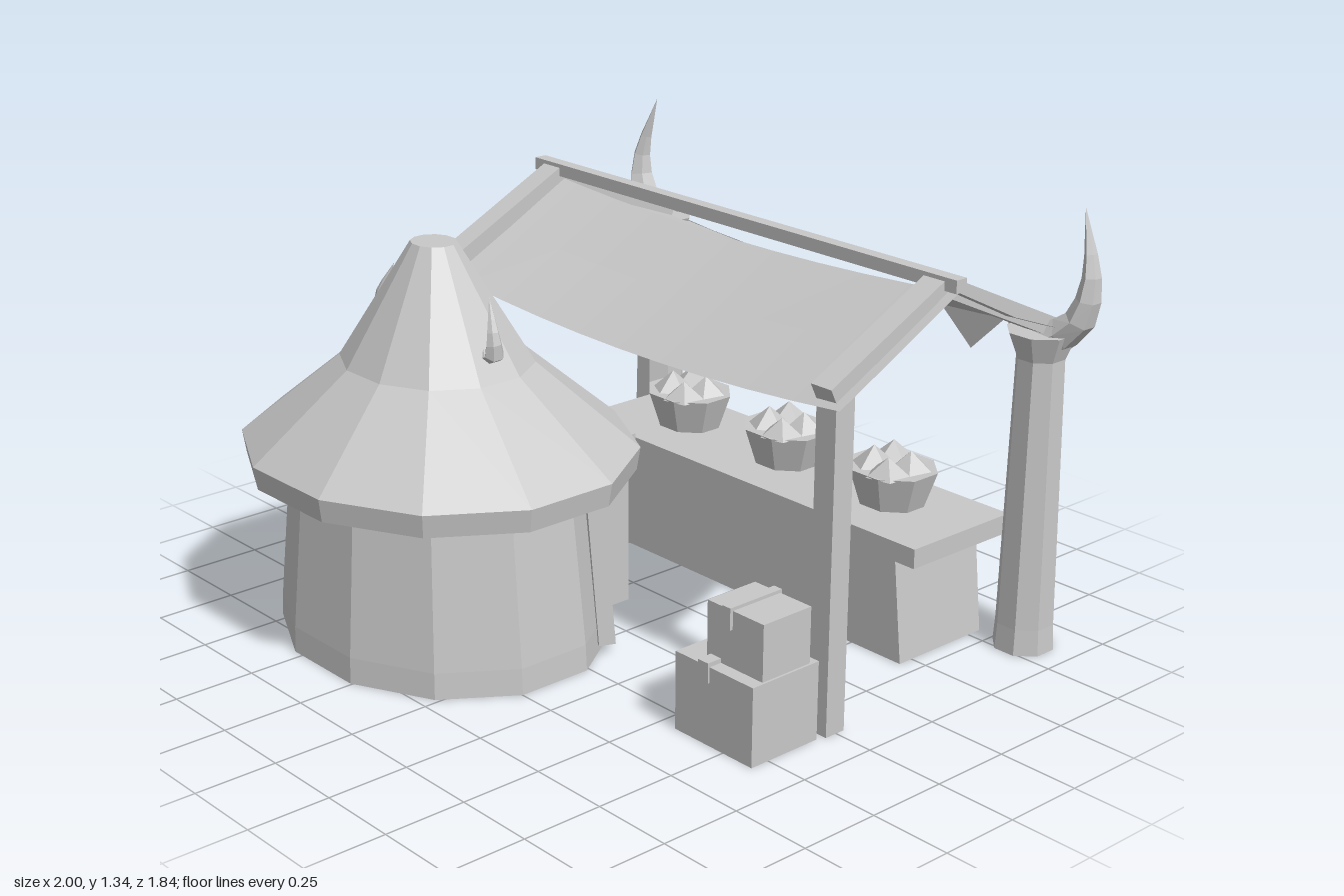
import * as THREE from 'three';

const V = (x, y, z) => new THREE.Vector3(x, y, z);

export function createModel() {
  const root = new THREE.Group();
  root.name = 'marketStallAndHut';
  const clay = new THREE.MeshStandardMaterial({ color: 0xc8c8c8, flatShading: true, side: THREE.DoubleSide });
  clay.name = 'plain grey';
  const CX = 0.037; // middle of the stall

  const add = (name, geo, x = 0, y = 0, z = 0) => {
    const m = new THREE.Mesh(geo, clay);
    m.name = name;
    m.position.set(x, y, z);
    root.add(m);
    return m;
  };
  // box without its bottom face
  const openBox = (w, h, d) => {
    const geo = new THREE.BoxGeometry(w, h, d);
    const idx = Array.from(geo.index.array);
    idx.splice(18, 6);
    geo.setIndex(idx);
    geo.clearGroups();
    return geo;
  };
  // box given by its limits; those standing on the ground are open below
  const span = (name, x0, x1, y0, y1, z0, z1) => {
    const size = [x1 - x0, y1 - y0, z1 - z0];
    const geo = y0 === 0 ? openBox(...size) : new THREE.BoxGeometry(...size);
    return add(name, geo, (x0 + x1) / 2, (y0 + y1) / 2, (z0 + z1) / 2);
  };
  // box running between two points
  const beam = (name, a, b, w, t) => {
    const m = add(name, new THREE.BoxGeometry(w, t, a.distanceTo(b)));
    m.position.copy(a).add(b).multiplyScalar(0.5);
    m.lookAt(b);
    return m;
  };
  const lathe = (name, pts, sides, x, z, sz = 1) => {
    const geo = new THREE.LatheGeometry(pts.map(p => new THREE.Vector2(...p)), sides, Math.PI / sides);
    const m = add(name, geo, x, 0, z);
    m.scale.z = sz;
    return m;
  };
  // tapering curved horn
  const horn = (name, pts, radius, flat) => {
    const seg = 7, sides = 6;
    const curve = new THREE.CatmullRomCurve3(pts);
    const geo = new THREE.TubeGeometry(curve, seg, radius, sides, false);
    const p = geo.attributes.position;
    const v = V(0, 0, 0);
    for (let i = 0; i < p.count; i++) {
      const t = Math.floor(i / (sides + 1)) / seg;
      const c = curve.getPointAt(t);
      v.fromBufferAttribute(p, i).sub(c).multiplyScalar(1 - t * 0.99);
      p.setXYZ(i, c.x + v.x, c.y + v.y, c.z + v.z * flat);
    }
    return add(name, geo);
  };

  // round hut
  const HX = -0.396, HZ = 0.38;
  lathe('hutWall', [[0.54, 0], [0.536, 0.08], [0.488, 0.54]], 12, HX, HZ, 0.852);
  lathe('hutRoof', [[0.46, 0.53], [0.615, 0.53], [0.627, 0.6], [0.305, 0.85], [0.073, 1.2], [0, 1.2]], 12, HX, HZ, 0.89);
  for (const s of [-1, 1]) {
    horn('roofHorn', [V(HX + s * 0.2, 0.915, 0.375), V(HX + s * 0.26, 0.92, 0.375),
      V(HX + s * 0.265, 0.98, 0.38), V(HX + s * 0.225, 1.08, 0.36)], 0.038, 1.15);
    const plank = beam('wallPlank', V(HX + s * 0.46, 0.03, 0.135), V(HX + s * 0.425, 0.54, 0.155), 0.05, 0.05);
    plank.rotateZ(s * Math.PI / 6);
    span('doorPost', HX + s * 0.19 - 0.04, HX + s * 0.19 + 0.04, 0, 0.49, -0.155, 0.06);
  }
  span('doorLintel', HX - 0.25, HX + 0.25, 0.485, 0.55, -0.165, 0.06);
  span('doorPanel', HX - 0.155, HX + 0.155, 0, 0.49, -0.085, 0.02);

  // stall posts, horns and rafters
  for (const s of [-1, 1]) {
    const px = CX + s * 0.804;
    lathe('backPost', [[0.093, 0], [0.088, 0.08], [0.072, 0.9], [0.104, 0.98], [0, 0.98]], 8, px, -0.825);
    horn('postHorn', [V(px + s * 0.01, 0.95, -0.84), V(px + s * 0.105, 1.02, -0.85),
      V(px + s * 0.133, 1.14, -0.86), V(px + s * 0.082, 1.34, -0.88)], 0.06, 1.2);
    const rx = CX + s * 0.8;
    span('frontPost', rx - 0.036, rx + 0.036, s < 0 ? 0.5 : 0, 1.0, -0.03, 0.04);
    beam('frontRafter', V(rx, 1.2, -0.375), V(rx, 0.99, 0.05), 0.075, 0.055);
    beam('backRafter', V(rx, 1.2, -0.385), V(rx, 0.99, -0.84), 0.075, 0.055);
  }
  span('ridgePole', CX - 0.88, CX + 0.88, 1.197, 1.235, -0.4, -0.36);

  // sagging cloth: rows of z, end height, middle height
  const cloth = (name, rows) => {
    const cols = 10;
    const geo = new THREE.PlaneGeometry(1, 1, cols, rows.length - 1);
    const p = geo.attributes.position;
    for (let i = 0; i < p.count; i++) {
      const [z, yEnd, yMid] = rows[Math.floor(i / (cols + 1))];
      const u = (i % (cols + 1)) / cols * 2 - 1;
      p.setXYZ(i, CX + u * 0.872, yMid + (yEnd - yMid) * u * u, z);
    }
    geo.computeVertexNormals();
    return add(name, geo);
  };
  cloth('backCloth', [[-0.885, 0.975, 0.93], [-0.62, 1.075, 1.03], [-0.38, 1.195, 1.155]]);
  cloth('frontCloth', [[-0.38, 1.195, 1.155], [-0.16, 1.08, 1.035], [0.065, 0.967, 0.918]]);

  // row of pennants along the back edge
  for (let k = -3; k <= 3; k++) {
    const x = 0.04 + k * 0.247;
    const edge = px => 0.932 + 0.045 * ((px - CX) / 0.87) ** 2;
    const tri = new THREE.Shape([new THREE.Vector2(x - 0.1235, edge(x - 0.1235)),
      new THREE.Vector2(x, edge(x) - 0.113), new THREE.Vector2(x + 0.1235, edge(x + 0.1235))]);
    add('pennant', new THREE.ShapeGeometry(tri), 0, 0, -0.883);
  }

  // counter, its body a little wider at the foot
  span('counterTop', CX - 0.73, CX + 0.73, 0.337, 0.397, -0.815, -0.41);
  const body = openBox(1.24, 0.34, 0.35);
  const bp = body.attributes.position;
  for (let i = 0; i < bp.count; i++) if (bp.getY(i) < 0) bp.setX(i, bp.getX(i) * 1.06);
  add('counterBody', body, CX, 0.17, -0.625);

  // baskets of goods
  for (let k = -1; k <= 1; k++) {
    const bx = 0.03 + k * 0.44;
    lathe('basket', [[0, 0.397], [0.108, 0.397], [0.148, 0.51], [0, 0.505]], 8, bx, -0.63, 0.88);
    const spots = [[-0.04, -0.05, 0.062], [0.055, -0.02, 0.06], [-0.045, 0.03, 0.064], [0.04, 0.06, 0.055]];
    spots.forEach(([dx, dz, h], i) => {
      const cone = add('produce', new THREE.ConeGeometry(0.07, h, 5), bx + dx, 0.505 + h / 2, -0.63 + dz);
      cone.rotation.y = i * 0.7;
    });
  }

  // stacked crates with straps
  span('lowerCrate', 0.56, 0.862, 0, 0.237, 0.065, 0.312);
  span('upperCrate', 0.64, 0.855, 0.237, 0.405, 0.093, 0.27);
  span('lowerStrap', 0.655, 0.695, 0.19, 0.25, 0.06, 0.318);
  span('upperStrap', 0.708, 0.738, 0.35, 0.415, 0.088, 0.28);
  return root;
}
